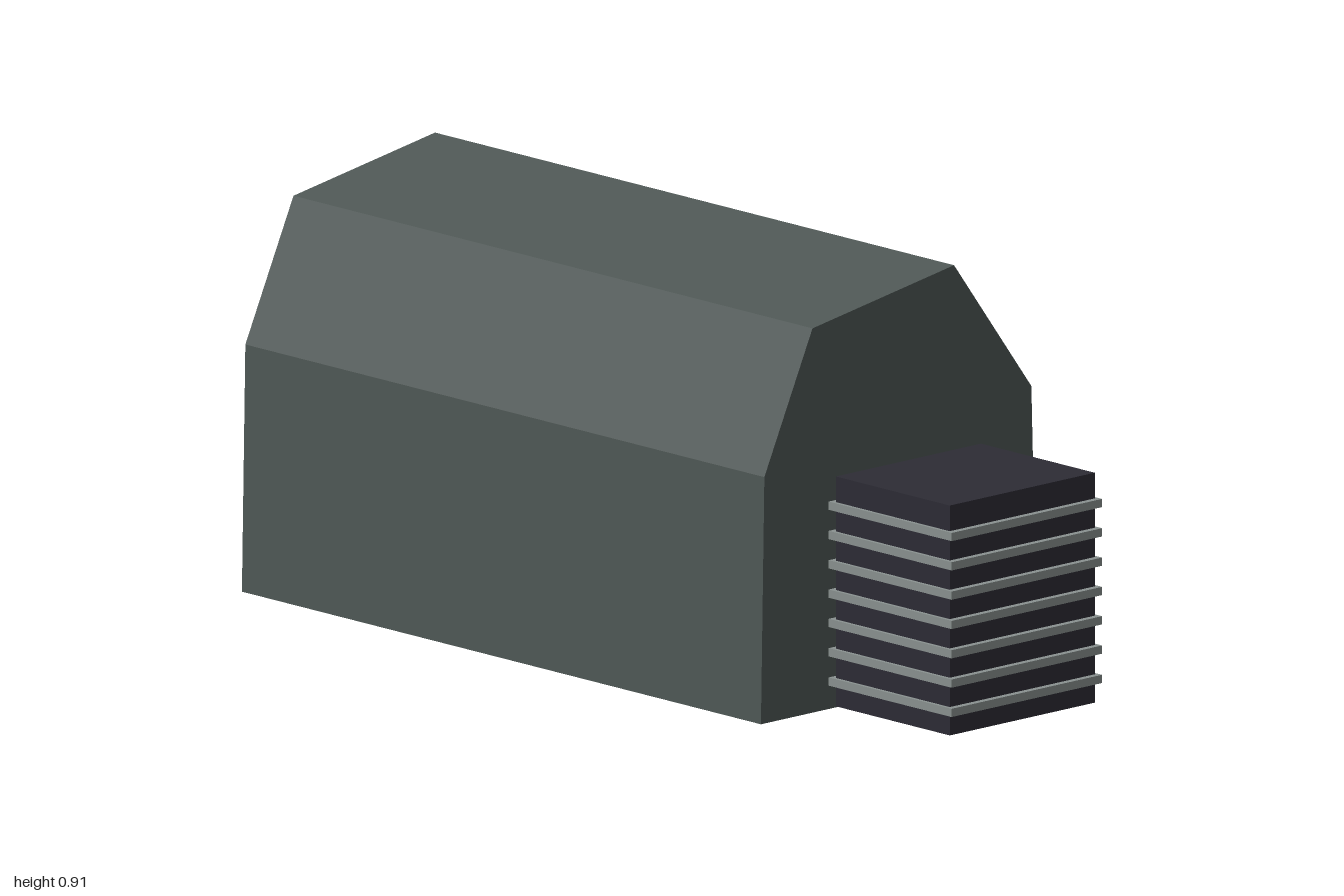
import * as THREE from 'three';

const hullGrey = new THREE.MeshStandardMaterial({ name: 'hullGrey', color: 0x4f5856 });
const ventDark = new THREE.MeshStandardMaterial({ name: 'ventDark', color: 0x2d2c35 });
const slatGrey = new THREE.MeshStandardMaterial({ name: 'slatGrey', color: 0x8a9290 });

function addBox(parent, name, material, size, position) {
  const mesh = new THREE.Mesh(new THREE.BoxGeometry(...size), material);
  mesh.name = name;
  mesh.position.set(...position);
  parent.add(mesh);
  return mesh;
}

export function createModel() {
  const model = new THREE.Group();
  model.name = 'ventedHousing';

  // Housing: lopsided roof profile given as (z, y), swept along x
  const profile = [
    [0.402, 0], [-0.402, 0], [-0.385, 0.605],
    [-0.16, 0.907], [0.252, 0.839], [0.392, 0.538],
  ].map(([z, y]) => new THREE.Vector2(z, y));
  const geometry = new THREE.ExtrudeGeometry(new THREE.Shape(profile), {
    depth: 1.605, bevelEnabled: false,
  });
  geometry.rotateY(-Math.PI / 2).translate(0.605, 0, 0);
  const housing = new THREE.Mesh(geometry, hullGrey);
  housing.name = 'housing';
  model.add(housing);

  // Vent unit standing just off the left end
  const vent = new THREE.Group();
  vent.name = 'ventUnit';
  addBox(vent, 'ventCore', ventDark, [0.352, 0.502, 0.422], [0.81, 0.263, 0]);

  // Evenly stacked cooling slats around the core
  for (let i = 0; i < 7; i++) {
    addBox(vent, `slat${i + 1}`, slatGrey, [0.38, 0.018, 0.438], [0.81, 0.065 + i * 0.064, 0]);
  }
  model.add(vent);

  return model;
}
